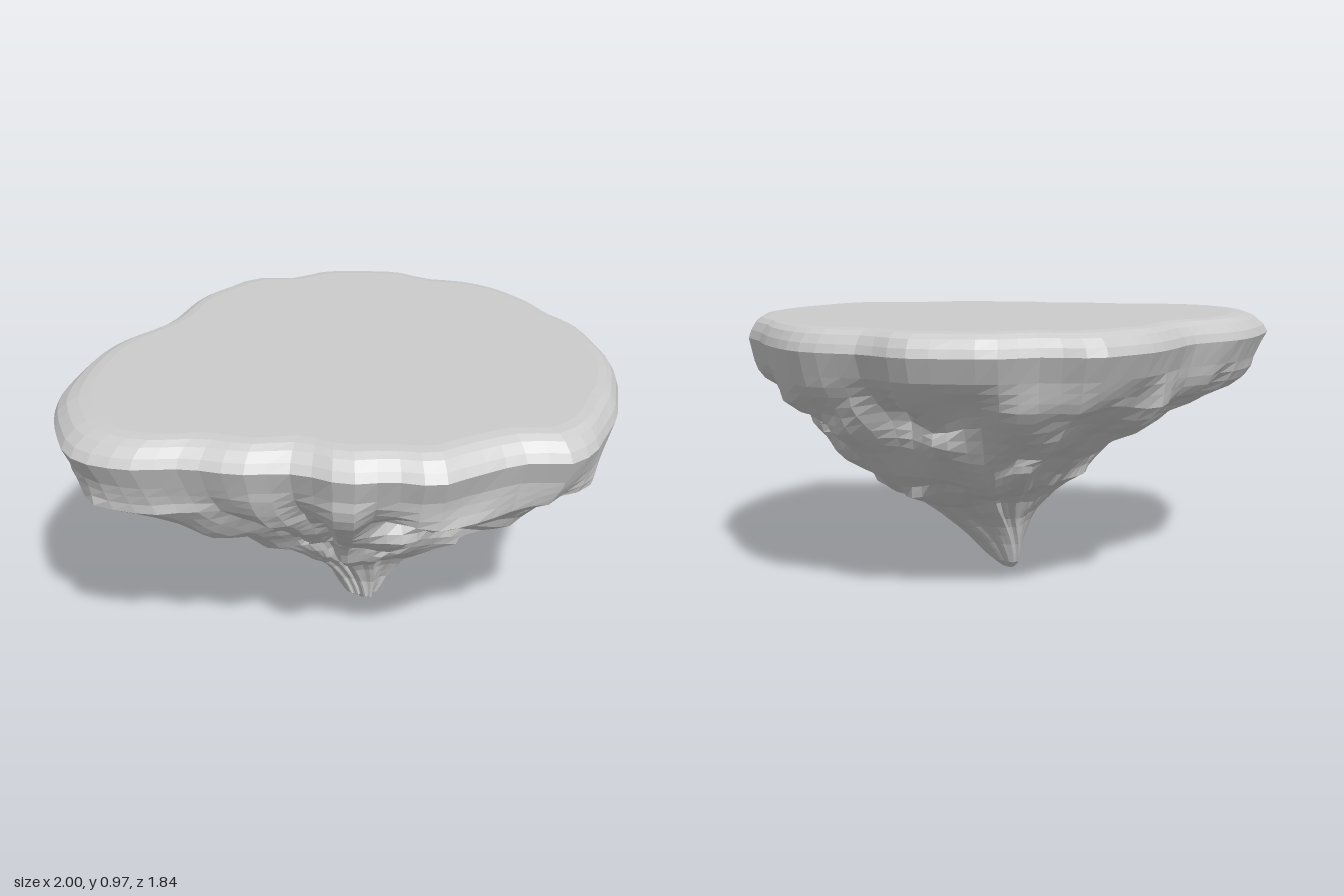
import * as THREE from 'three';

const SIDES = 84;

// Rim outline seen from above (x, z), from +x towards +z
const RIM = [
  1, 0.1, 0.99, 0.22, 0.95, 0.4, 0.9, 0.53, 0.82, 0.68, 0.72, 0.77, 0.62, 0.76, 0.42, 0.84, 0.3, 0.91,
  0.15, 0.89, 0, 0.9, -0.15, 0.83, -0.33, 0.84, -0.5, 0.8, -0.72, 0.8, -0.88, 0.72, -0.97, 0.54, -1, 0.37,
  -0.98, 0.18, -0.93, 0, -0.87, -0.12, -0.7, -0.33, -0.6, -0.6, -0.5, -0.72, -0.4, -0.82, -0.22, -0.83,
  -0.08, -0.91, 0.08, -0.92, 0.23, -0.91, 0.38, -0.81, 0.52, -0.78, 0.63, -0.72, 0.77, -0.55,
  0.85, -0.38, 0.93, -0.26, 0.98, -0.05,
];

// Reach of the rock at each height: y, -x, +x, -z, +z
const REACH = [
  [0, 0.03, 0.04, 0.1, 0.2], [0.03, 0.06, 0.08, 0.14, 0.25], [0.1, 0.08, 0.15, 0.17, 0.26],
  [0.2, 0.12, 0.28, 0.23, 0.31], [0.3, 0.22, 0.42, 0.33, 0.44], [0.35, 0.33, 0.57, 0.48, 0.48],
  [0.4, 0.37, 0.64, 0.57, 0.52], [0.5, 0.48, 0.74, 0.65, 0.63], [0.54, 0.62, 0.77, 0.69, 0.73],
  [0.6, 0.72, 0.83, 0.75, 0.79], [0.7, 0.93, 0.95, 0.84, 0.89], [0.75, 0.96, 0.97, 0.87, 0.89],
  [0.82, 0.97, 0.99, 0.89, 0.89], [0.89, 1, 1, 0.92, 0.92], [0.92, 0.985, 0.99, 0.91, 0.9],
  [0.95, 0.95, 0.97, 0.89, 0.87], [0.965, 0.91, 0.95, 0.86, 0.84], [0.97, 0.87, 0.92, 0.82, 0.8],
];

function reachAt(y) {
  let i = 0;
  while (i < REACH.length - 2 && REACH[i + 1][0] < y) i++;
  const a = REACH[i], b = REACH[i + 1];
  const t = (y - a[0]) / (b[0] - a[0]);
  return a.map((v, k) => v + (b[k] - v) * t);
}

// Smooth value noise, 0 to 1
function hash(x, y, z) {
  const s = Math.sin(x * 127.1 + y * 311.7 + z * 74.7) * 43758.5453;
  return s - Math.floor(s);
}
function noise(x, y, z) {
  const c = [x, y, z].map(Math.floor);
  const f = [x - c[0], y - c[1], z - c[2]].map((t) => t * t * (3 - 2 * t));
  let sum = 0;
  for (let k = 0; k < 8; k++) {
    const d = [k & 1, (k >> 1) & 1, k >> 2];
    const w = d.reduce((p, on, i) => p * (on ? f[i] : 1 - f[i]), 1);
    sum += w * hash(c[0] + d[0], c[1] + d[1], c[2] + d[2]);
  }
  return sum;
}

function rimPoints() {
  const pts = [];
  for (let i = 0; i < RIM.length; i += 2) pts.push(new THREE.Vector3(RIM[i], 0, RIM[i + 1]));
  return new THREE.CatmullRomCurve3(pts, true).getSpacedPoints(SIDES).slice(0, SIDES);
}

// One closed cross-section: the rim fitted to the reach, broken up by gullies and lumps
function section(rim, y) {
  const [, left, right, back, front] = reachAt(y);
  const { smoothstep } = THREE.MathUtils;
  const rough = smoothstep(y, 0.02, 0.4) * (1 - smoothstep(y, 0.62, 0.84));
  const slant = 0.35 * (1 - smoothstep(y, 0, 0.3)); // the foot is a ridge set diagonally
  return rim.map((p) => {
    const z = p.z * (p.z > 0 ? front / 0.91 : back / 0.92);
    const x = p.x * (p.x > 0 ? right : left) + slant * z;
    const a = Math.atan2(p.z, p.x);
    const gully = 1 - Math.abs(noise(Math.cos(a) * 3.5 + 9, y * 4, Math.sin(a) * 3.5 + 9) * 2 - 1);
    const lump = noise(x * 7 + 20, y * 9, z * 7 + 20);
    const s = 1 + rough * (0.07 - 0.13 * gully ** 3 - 0.13 * (1 - lump)) + (1 - rough) * 0.015 * (lump - 0.5);
    const lift = rough * 0.06 * (noise(x * 6 + 40, y * 6, z * 6 + 40) - 0.5);
    return [x * s, y + lift, z * s];
  });
}

// Skin between sections, closed at the bottom or the top
function skin(sections, capTop) {
  const pos = sections.flat(2), index = [], rows = sections.length;
  for (let i = 0; i < rows - 1; i++) {
    for (let j = 0; j < SIDES; j++) {
      const a = i * SIDES + j, b = i * SIDES + (j + 1) % SIDES;
      index.push(a, a + SIDES, b, b, a + SIDES, b + SIDES);
    }
  }
  const row = capTop ? rows - 1 : 0, centre = pos.length / 3;
  pos.push(...[0, 1, 2].map((c) => sections[row].reduce((s, p) => s + p[c], 0) / SIDES));
  for (let j = 0; j < SIDES; j++) {
    const a = row * SIDES + j, b = row * SIDES + (j + 1) % SIDES;
    index.push(centre, ...(capTop ? [b, a] : [a, b]));
  }
  const g = new THREE.BufferGeometry();
  g.setAttribute('position', new THREE.Float32BufferAttribute(pos, 3));
  g.setIndex(index);
  const flat = g.toNonIndexed();
  flat.computeVertexNormals();
  return flat;
}

export function createModel() {
  const group = new THREE.Group();
  group.name = 'floatingIsland';
  const material = new THREE.MeshStandardMaterial({ color: 0xcccccc, flatShading: true });
  const rim = rimPoints();
  const add = (name, heights, capTop) => {
    const mesh = new THREE.Mesh(skin(heights.map((y) => section(rim, y)), capTop), material);
    mesh.name = name;
    group.add(mesh);
  };

  // Craggy rock tapering to a narrow foot
  const rock = [0, 0.03];
  for (let y = 0.07; y < 0.84; y += 0.035) rock.push(y);
  add('rockUnderside', [...rock, 0.89], false);

  // Flat ground with a rounded lip
  add('groundTop', [0.89, 0.92, 0.95, 0.965, 0.97], true);
  return group;
}
